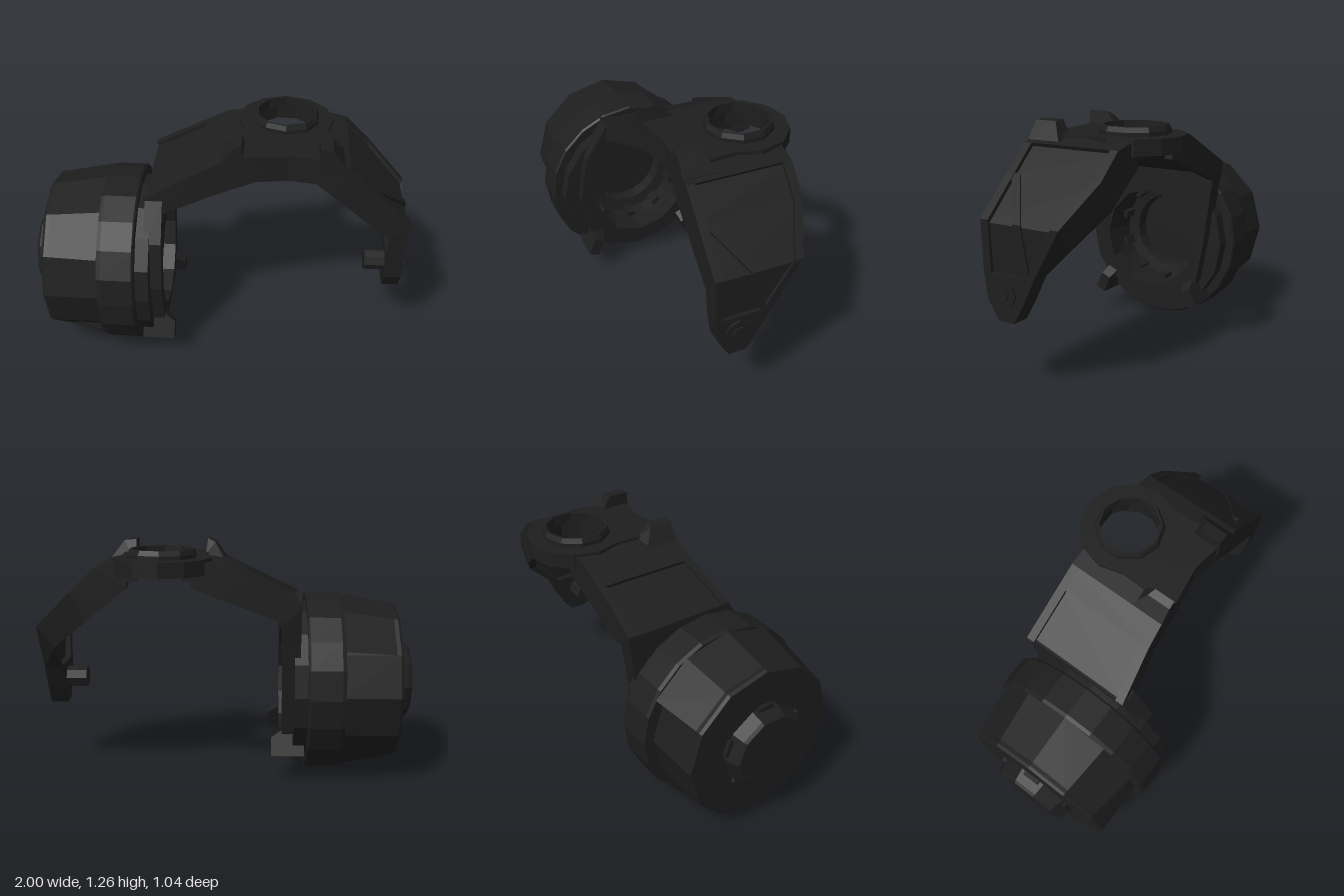
import * as THREE from 'three';

const material = new THREE.MeshStandardMaterial({ color: 0x1e1e1e, flatShading: true, side: THREE.DoubleSide });
const AXIS_Y = 0.485, AXIS_Z = 0.03;
const V2 = (p) => new THREE.Vector2(p[0], p[1]);

function part(name, geometry, parent) {
  const mesh = new THREE.Mesh(geometry, material);
  mesh.name = name;
  parent.add(mesh);
  return mesh;
}

// Closed profile of [radius, x] turned about the drum axis
function turned(profile, sides, start = 0, length = Math.PI * 2) {
  const pts = [...profile, profile[0]].map(V2);
  return new THREE.LatheGeometry(pts, sides, start, length).rotateZ(-Math.PI / 2).translate(0, AXIS_Y, AXIS_Z);
}

// Regular polygon points, angles in degrees
function arc(cx, cy, r, from, to, steps) {
  return Array.from({ length: steps + 1 }, (_, i) => {
    const a = THREE.MathUtils.degToRad(from + ((to - from) * i) / steps);
    return [cx + r * Math.cos(a), cy + r * Math.sin(a)];
  });
}

function extruded(outline, depth, hole) {
  const shape = new THREE.Shape(outline.map(V2));
  if (hole) shape.holes.push(new THREE.Path(hole.map(V2)));
  return new THREE.ExtrudeGeometry(shape, { depth, bevelEnabled: false });
}

// Lofted four-sided strip; each station is [outerX, outerY, innerX, innerY, zFront, zBack].
// span gives the [start, end] share of the width; the insets thin the outer and inner faces.
function strip(stations, span, outerInset = 0, innerInset = 0) {
  const pos = [], idx = [], n = stations.length;
  stations.forEach(([ox, oy, ix, iy, zf, zb], i) => {
    const [s, e] = span(i / (n - 1), zf - zb);
    const len = Math.hypot(ox - ix, oy - iy), ko = outerInset / len, ki = innerInset / len;
    const z0 = zf + (zb - zf) * s, z1 = zf + (zb - zf) * e;
    const o = [ox + (ix - ox) * ko, oy + (iy - oy) * ko];
    const q = [ix + (ox - ix) * ki, iy + (oy - iy) * ki];
    pos.push(...o, z0, ...o, z1, ...q, z1, ...q, z0);
    if (i < n - 1) for (let j = 0; j < 4; j++) {
      const a = i * 4 + j, b = i * 4 + ((j + 1) % 4);
      idx.push(a, b, a + 4, b, b + 4, a + 4);
    }
  });
  const l = (n - 1) * 4;
  idx.push(0, 2, 1, 0, 3, 2, l, l + 1, l + 2, l, l + 2, l + 3);
  const g = new THREE.BufferGeometry();
  g.setAttribute('position', new THREE.Float32BufferAttribute(pos, 3));
  g.setIndex(idx);
  const flat = g.toNonIndexed();
  flat.computeVertexNormals();
  return flat;
}

// Recessed panel with a raised rail along each edge
function framedArm(name, stations, parent) {
  const arm = new THREE.Group();
  arm.name = name;
  parent.add(arm);
  part('recessedPanel', strip(stations, () => [0.01, 0.99], 0.02, 0.035), arm);
  part('frontRail', strip(stations, (t, w) => [0, 0.045 / w]), arm);
  part('backRail', strip(stations, (t, w) => [1 - 0.045 / w, 1]), arm);
  return arm;
}

function buildDrum(model) {
  const drum = new THREE.Group();
  drum.name = 'drum';
  model.add(drum);

  // Faceted body, with flared shells above and below
  part('drumBody', turned([[0.001, -0.92], [0.42, -0.92], [0.43, -0.905], [0.43, -0.61], [0.001, -0.61]], 12), drum);
  for (const start of [30, 210]) {
    part('flaredShell', turned([[0.425, -0.91], [0.48, -0.62], [0.42, -0.62]], 4,
      THREE.MathUtils.degToRad(start), (Math.PI * 2) / 3), drum);
  }

  // Collar and flange around a stepped bore
  part('collar', turned([[0.48, -0.62], [0.486, -0.6], [0.486, -0.44], [0.478, -0.43], [0.29, -0.43],
    [0.285, -0.52], [0.22, -0.53], [0.215, -0.6], [0.001, -0.6], [0.001, -0.62]], 20), drum);
  part('flange', turned([[0.435, -0.44], [0.435, -0.36], [0.29, -0.36], [0.29, -0.44]], 16), drum);
  part('endCap', turned([[0.001, -1], [0.195, -1], [0.208, -0.985], [0.23, -0.91], [0.001, -0.91]], 10), drum);

  // Blocks lining the bore and small lugs around the end cap
  const ringOf = (name, count, box) => {
    for (let i = 0; i < count; i++) {
      const block = part(name, box, drum);
      block.position.set(0, AXIS_Y, AXIS_Z);
      block.rotation.x = (i * Math.PI * 2) / count;
    }
  };
  ringOf('boreBlock', 10, new THREE.BoxGeometry(0.08, 0.03, 0.05).translate(-0.48, 0.275, 0));
  ringOf('capLug', 5, new THREE.BoxGeometry(0.025, 0.06, 0.09).translate(-0.927, 0.205, 0));

  // Mounting plate around the bore, in (-z, y)
  const outline = [[-0.22, 0.95], [-0.34, 0.76], [-0.385, 0.5], [-0.34, 0.26], [-0.2, 0.16],
    [0.14, 0.16], [0.28, 0.26], [0.325, 0.5], [0.36, 0.76], [0.39, 0.95]];
  const hole = arc(-AXIS_Z, AXIS_Y, 0.288, 0, 330, 11);
  part('mountingPlate', extruded(outline, 0.09, hole).rotateY(Math.PI / 2).translate(-0.39, 0, 0), drum);

  // Pair of lower tabs
  for (const s of [-1, 1]) {
    const tab = part('lowerTab', extruded([[-0.42, -0.065], [-0.245, -0.065], [-0.245, 0.035],
      [-0.3, 0.075], [-0.42, 0.075]], 0.06).translate(0, 0, -0.03), drum);
    tab.position.set(0, 0.19, AXIS_Z + s * 0.29);
    tab.rotation.x = -s * 0.4;
  }
}

function buildYoke(model) {
  const yoke = new THREE.Group();
  yoke.name = 'yoke';
  model.add(yoke);

  // Arm sloping down to the drum
  const drumStations = [[0.155, 1.185, 0.17, 1.047, 0.158, -0.39], [0, 1.16, 0.06, 1.005, 0.165, -0.39],
    [-0.12, 1.1, -0.06, 0.96, 0.175, -0.39], [-0.4, 0.96, -0.3, 0.87, 0.22, -0.39]];
  const drumArm = framedArm('drumArm', drumStations, yoke);
  part('crossRail', strip(drumStations.slice(0, 3), () => [0.01, 0.99], 0, 0.04), drumArm);

  // Arm dropping to the pivot pin, tapering to a narrow tip
  const pivotStations = [[0.49, 1.185, 0.49, 1.045, 0.158, -0.39], [0.65, 1.15, 0.56, 0.99, 0.165, -0.385],
    [0.78, 1.025, 0.7, 0.875, 0.165, -0.38], [0.98, 0.83, 0.89, 0.72, 0.165, -0.29],
    [0.98, 0.58, 0.89, 0.58, 0.155, -0.145], [0.98, 0.45, 0.89, 0.45, 0.135, -0.08],
    [0.98, 0.35, 0.89, 0.35, 0.075, -0.02]];
  const pivotArm = framedArm('pivotArm', pivotStations, yoke);
  part('crossRail', strip(pivotStations.slice(0, 2), () => [0.01, 0.99], 0, 0.04), pivotArm);
  part('tip', strip(pivotStations.slice(4), () => [0, 1]), pivotArm);
  part('diagonalRib', strip(pivotStations.slice(2, 5), (t) => [0.04 + 0.76 * t, 0.14 + 0.76 * t], 0.004, 0.04), pivotArm);

  // Top deck with the ring eye, in (x, -z)
  const flat = (g, y) => g.rotateX(-Math.PI / 2).translate(0, y, 0);
  const deck = [[0.09, -0.165], [0.34, -0.13], [0.56, -0.165], ...arc(0.32, 0.27, 0.255, -30, 210, 8)];
  part('topDeck', flat(extruded(deck, 0.08, arc(0.32, 0.27, 0.155, 0, 324, 9)), 1.11), yoke);
  const under = [[0.12, -0.163], [0.34, -0.13], [0.54, -0.163], [0.54, 0.39],
    ...arc(0.32, 0.27, 0.16, 48, -228, 9), [0.12, 0.39]];
  part('deckUnderside', flat(extruded(under, 0.04), 1.08), yoke);
  const lip = [[0.12, -0.163], [0.34, -0.13], [0.54, -0.163], [0.54, -0.115], [0.34, -0.085], [0.12, -0.115]];
  part('deckFrontLip', flat(extruded(lip, 0.07), 1.047), yoke);
  const boss = [[0.155, 1.18], [0.18, 1.18], [0.18, 1.21], [0.168, 1.235], [0.155, 1.235], [0.155, 1.18]];
  part('ringBoss', new THREE.LatheGeometry(boss.map(V2), 10).translate(0.32, 0, -0.265), yoke);

  // Two upright stops with sloped backs
  const stops = [[[0, 1.13], [0.12, 1.13], [0.11, 1.18], [0.1, 1.26], [0.06, 1.24], [0, 1.16]],
    [[0.49, 1.13], [0.62, 1.13], [0.62, 1.16], [0.555, 1.25], [0.49, 1.255]]];
  for (const outline of stops) {
    const g = extruded(outline, 0.185).translate(0, 0, -0.02);
    const p = g.attributes.position;
    for (let i = 0; i < p.count; i++) {
      if (p.getZ(i) < 0) p.setZ(i, -0.02 + Math.max(0, p.getY(i) - 1.17) * 0.8);
    }
    g.computeVertexNormals();
    part('deckStop', g, yoke);
  }

  // Pivot pin and its outer nut
  const onAxis = (r, x0, x1, sides) => new THREE.CylinderGeometry(r, r, x1 - x0, sides)
    .rotateZ(Math.PI / 2).translate((x0 + x1) / 2, 0.49, AXIS_Z);
  part('pivotPin', onAxis(0.058, 0.78, 0.92, 8), yoke);
  part('pivotNut', onAxis(0.07, 0.96, 0.99, 8), yoke);
  part('pivotNutCentre', onAxis(0.035, 0.98, 1, 6), yoke);
}

export function createModel() {
  const model = new THREE.Group();
  model.name = 'yokeAndDrum';
  buildDrum(model);
  buildYoke(model);
  return model;
}
